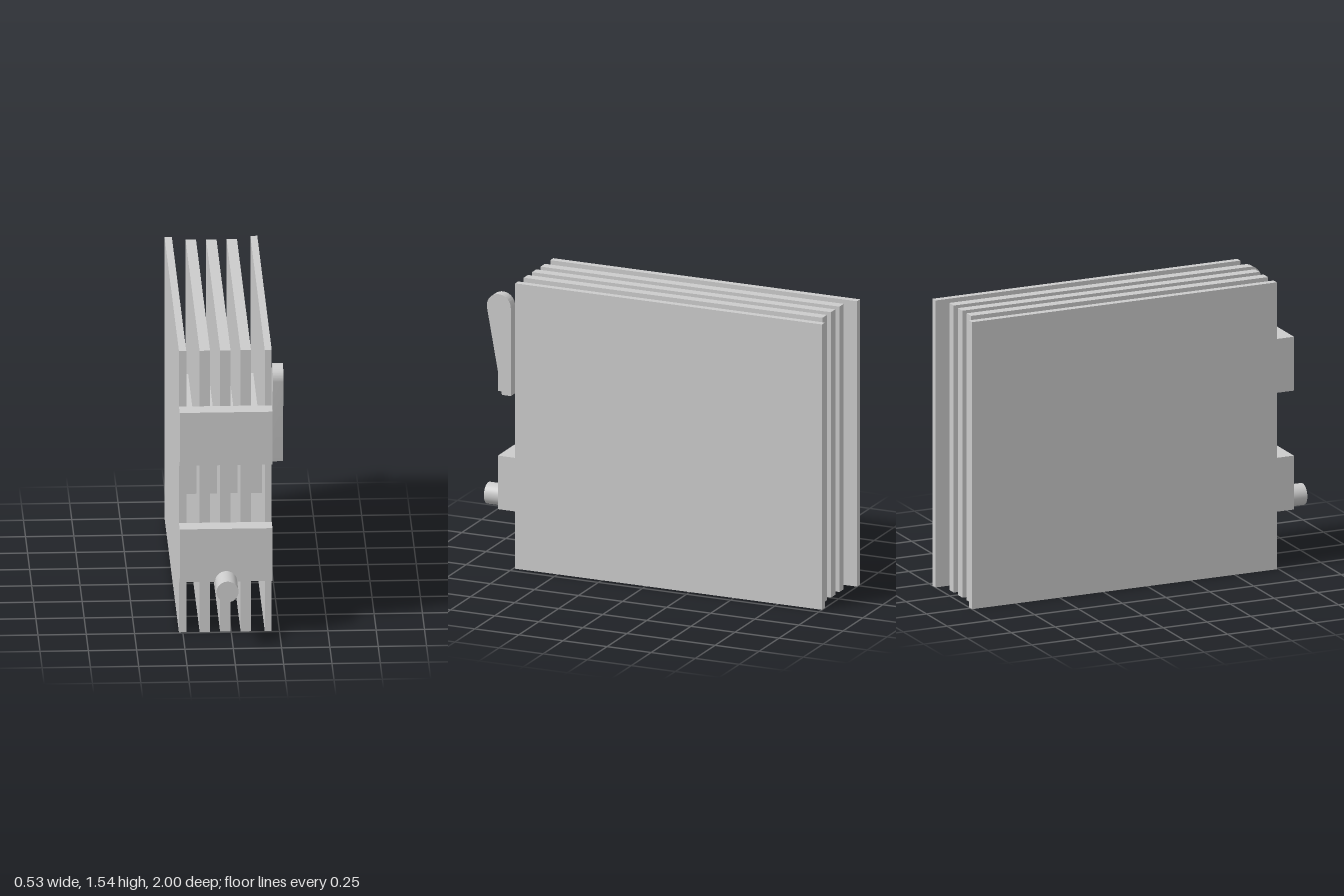
import * as THREE from 'three';
import { toCreasedNormals } from 'three/addons/utils/BufferGeometryUtils.js';

const material = new THREE.MeshStandardMaterial({ color: 0xcccccc });
const FRONT = 0.74, HEIGHT = 1.545;

export function createModel() {
  const group = new THREE.Group();

  const add = (name, geometry) => {
    const mesh = new THREE.Mesh(geometry, material);
    mesh.name = name;
    group.add(mesh);
    return mesh;
  };

  // Box given by its limits on each axis
  const addBox = (name, [x0, x1], [y0, y1], [z0, z1]) => {
    const box = add(name, new THREE.BoxGeometry(x1 - x0, y1 - y0, z1 - z0));
    box.position.set((x0 + x1) / 2, (y0 + y1) / 2, (z0 + z1) / 2);
  };

  // Thin outer panels, full depth
  addBox('rightPanel', [-0.27, -0.232], [0, HEIGHT], [-1, FRONT]);
  addBox('leftPanel', [0.174, 0.21], [0, HEIGHT], [-1, FRONT]);

  // Thicker inner plates, set in slightly at the back
  [-0.136, -0.03, 0.076].forEach((x, i) =>
    addBox(`innerPlate${i + 1}`, [x - 0.027, x + 0.027], [0, HEIGHT], [-0.955, FRONT]));

  // Core block joining the plates
  addBox('core', [-0.235, 0.177], [0.63, 0.92], [-0.645, 0.38]);

  // Front crossbars
  addBox('lowerCrossbar', [-0.27, 0.21], [0.31, 0.6], [FRONT, 0.838]);
  addBox('upperCrossbar', [-0.27, 0.21], [0.95, 1.24], [FRONT, 0.838]);

  // Round peg under the lower crossbar
  const peg = add('peg', new THREE.CylinderGeometry(0.057, 0.057, 0.26, 48));
  peg.rotation.x = Math.PI / 2;
  peg.position.set(-0.03, 0.311, 0.87);

  // Tapered lever with a rounded top on the left side
  const profile = new THREE.Shape();
  profile.moveTo(-FRONT, 0.95);
  profile.lineTo(-FRONT, 1.425);
  profile.absarc(-0.808, 1.425, 0.068, 0, Math.PI + 0.17, false);
  profile.lineTo(-0.79, 0.95);
  profile.closePath();
  const leverGeometry = new THREE.ExtrudeGeometry(profile, {
    depth: 0.055, bevelEnabled: false, curveSegments: 24,
  });
  const lever = add('lever', toCreasedNormals(leverGeometry, 0.5));
  lever.rotation.y = Math.PI / 2;
  lever.position.x = 0.21;

  return group;
}
